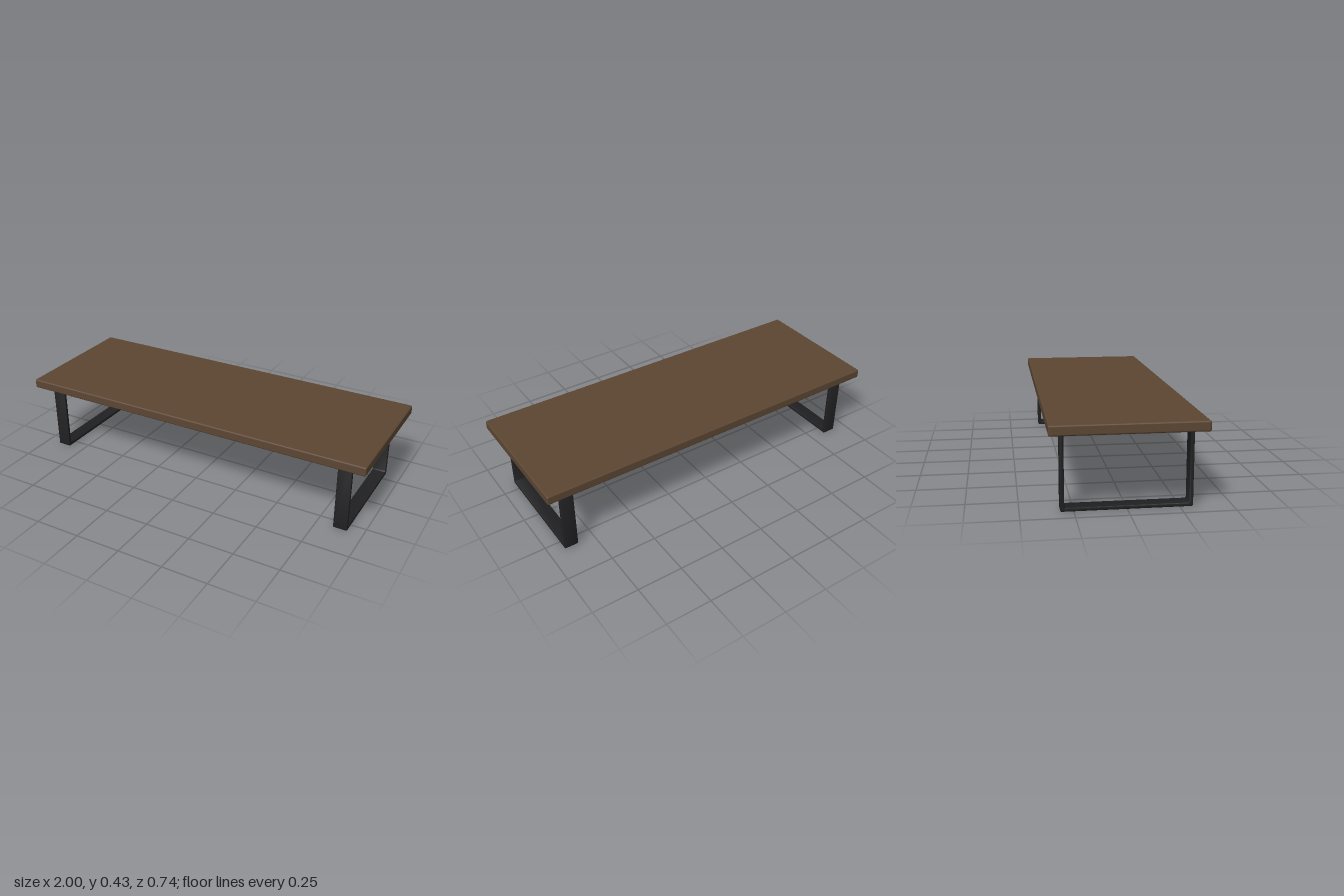
import * as THREE from 'three';
import { toCreasedNormals } from 'three/addons/utils/BufferGeometryUtils.js';
import { RoundedBoxGeometry } from 'three/addons/geometries/RoundedBoxGeometry.js';

const wood = new THREE.MeshStandardMaterial({ name: 'walnut wood', color: 0x5c4633 });
const metal = new THREE.MeshStandardMaterial({ name: 'black metal', color: 0x202022 });

// Rounded rectangle centred on the origin
function roundedRect(path, w, h, r) {
  const x = w / 2, y = h / 2;
  path.moveTo(-x + r, -y);
  path.lineTo(x - r, -y);
  path.absarc(x - r, -y + r, r, -Math.PI / 2, 0);
  path.lineTo(x, y - r);
  path.absarc(x - r, y - r, r, 0, Math.PI / 2);
  path.lineTo(-x + r, y);
  path.absarc(-x + r, y - r, r, Math.PI / 2, Math.PI);
  path.lineTo(-x, -y + r);
  path.absarc(-x + r, -y + r, r, Math.PI, Math.PI * 1.5);
  return path;
}

// Closed rectangular leg frame, lying in the yz plane
function legFrameGeometry() {
  const width = 0.626, height = 0.378, bar = 0.019, depth = 0.075, bevel = 0.004;
  const shape = roundedRect(new THREE.Shape(), width, height, 0.008);
  shape.holes.push(roundedRect(new THREE.Path(), width - 2 * bar, height - 2 * bar, 0.008));
  const geo = new THREE.ExtrudeGeometry(shape, {
    depth: depth - 2 * bevel, curveSegments: 4, bevelEnabled: true,
    bevelThickness: bevel, bevelSize: bevel, bevelOffset: -bevel, bevelSegments: 3,
  });
  geo.translate(0, height / 2 + 0.002, -depth / 2 + bevel);
  geo.rotateY(Math.PI / 2);
  return toCreasedNormals(geo, 0.7);
}

export function createModel() {
  const group = new THREE.Group();
  group.name = 'lowTable';

  // Tabletop slab with softened edges
  const top = new THREE.Mesh(new RoundedBoxGeometry(2, 0.05, 0.737, 3, 0.008), wood);
  top.name = 'tabletop';
  top.position.y = 0.406;
  group.add(top);

  // One frame under each end
  const frame = legFrameGeometry();
  for (const [name, side] of [['leftLegFrame', 1], ['rightLegFrame', -1]]) {
    const leg = new THREE.Mesh(frame, metal);
    leg.name = name;
    leg.position.x = side * 0.879;
    group.add(leg);
  }
  return group;
}
